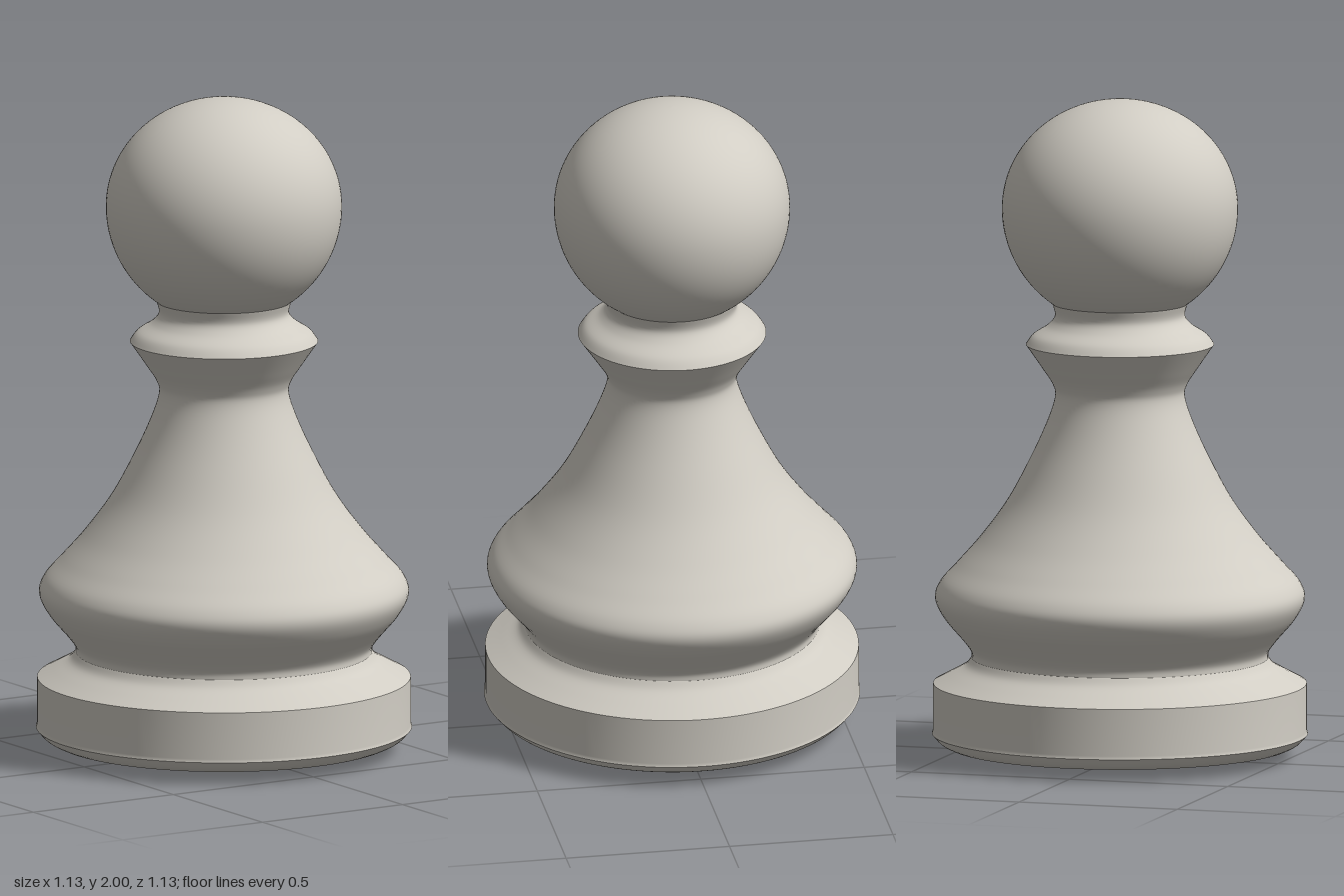
import * as THREE from 'three';

const SEGMENTS = 96;

export function createModel() {
  const model = new THREE.Group();
  model.name = 'pawn';
  const ivory = new THREE.MeshStandardMaterial({ color: 0xd1cdc4 });
  ivory.name = 'warm ivory grey';

  const toPoints = (pairs) => pairs.map(([r, y]) => new THREE.Vector2(r, y));

  // Each turned section is its own lathe, so the joins stay crisp
  function turn(name, points) {
    const mesh = new THREE.Mesh(new THREE.LatheGeometry(points, SEGMENTS), ivory);
    mesh.name = name;
    model.add(mesh);
  }
  const turnCurve = (name, pairs, steps) =>
    turn(name, new THREE.SplineCurve(toPoints(pairs)).getPoints(steps));

  // Base: shallow cone underside, rounded lower rim, straight band
  turn('underside', toPoints([[0, 0], [0.02, 0.016], [0.52, 0.035]]));
  turnCurve('lowerRim', [[0.52, 0.035], [0.545, 0.048], [0.567, 0.072]], 8);
  turn('baseBand', toPoints([[0.567, 0.072], [0.563, 0.082], [0.563, 0.225]]));
  turnCurve('baseShoulder', [[0.563, 0.225], [0.512, 0.252], [0.467, 0.278], [0.447, 0.303]], 16);

  // Bell-shaped body, flaring at the bulge and tapering to the neck
  turnCurve('body', [
    [0.447, 0.303], [0.45, 0.325], [0.475, 0.36], [0.53, 0.425], [0.557, 0.482],
    [0.543, 0.53], [0.49, 0.59], [0.42, 0.67], [0.34, 0.78], [0.27, 0.91],
    [0.22, 1.02], [0.196, 1.095], [0.203, 1.135], [0.235, 1.185], [0.284, 1.256],
  ], 90);

  // Collar top sweeping into the throat under the head
  turnCurve('collar', [
    [0.284, 1.256], [0.262, 1.284], [0.218, 1.313], [0.196, 1.343], [0.204, 1.38],
  ], 24);

  // Ball head, slightly flattened above its widest line
  const head = [];
  const start = -Math.acos(0.204 / 0.356);
  for (let i = 0; i <= 48; i++) {
    const a = THREE.MathUtils.lerp(start, Math.PI / 2, i / 48);
    head.push(new THREE.Vector2(Math.max(0, 0.356 * Math.cos(a)),
      1.67 + (a < 0 ? 0.354 : 0.33) * Math.sin(a)));
  }
  turn('head', head);

  return model;
}
